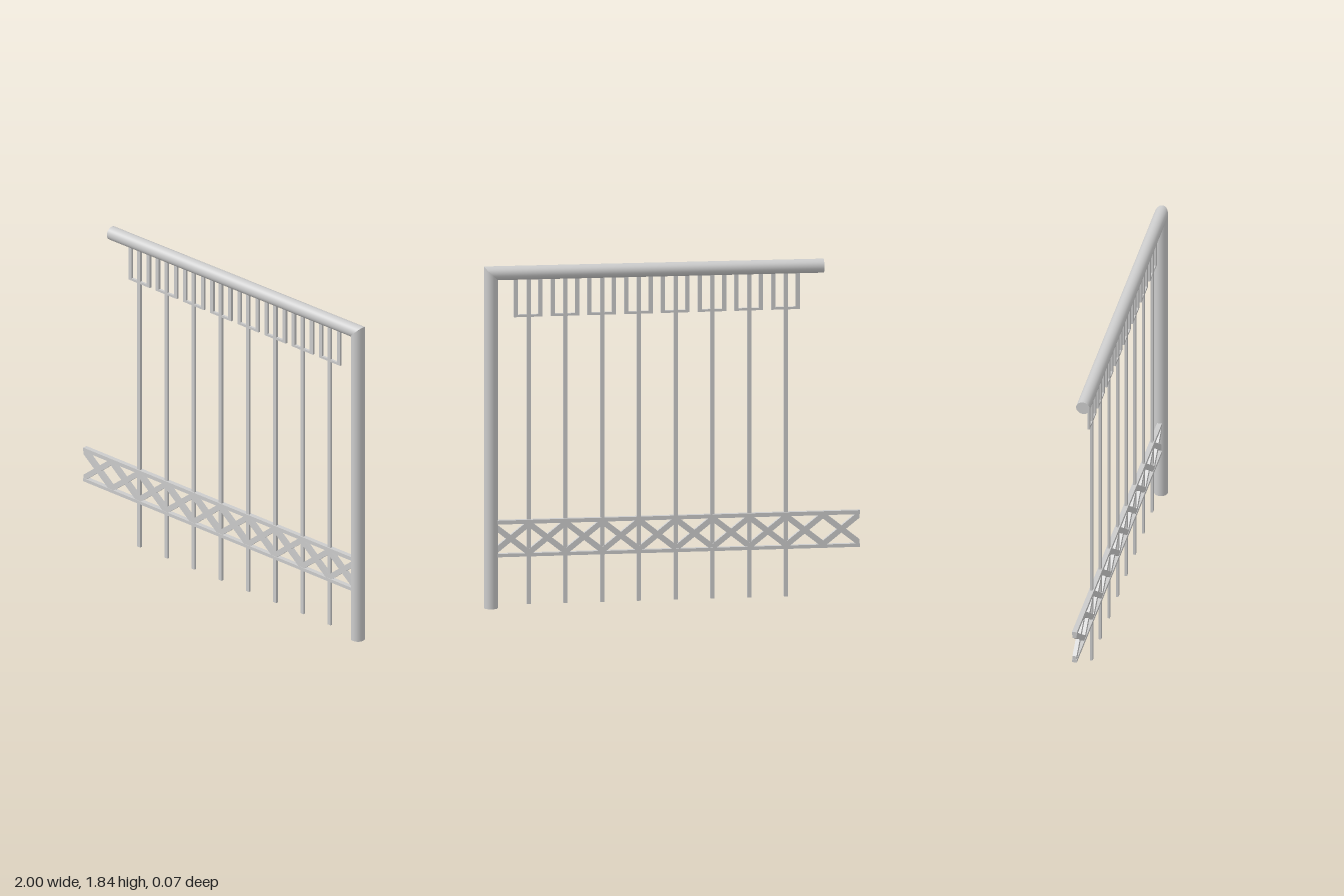
import * as THREE from 'three';

const material = new THREE.MeshStandardMaterial({ color: 0xcccccc });
const PITCH = 0.1955, FIRST_BAR = -0.607, BARS = 8;
const R = 0.037, POST_X = 0.963, RAIL_Y = 1.801, SLOPE = 0.006;

export function createModel() {
  const model = new THREE.Group();
  model.name = 'railing';

  const add = (name, geometry, parent = model) => {
    const mesh = new THREE.Mesh(geometry, material);
    mesh.name = name;
    parent.add(mesh);
    return mesh;
  };
  // Box given by its x and y limits, centred on z = 0
  const box = (name, x0, x1, y0, y1, depth, parent) =>
    add(name, new THREE.BoxGeometry(x1 - x0, y1 - y0, depth), parent)
      .position.set((x0 + x1) / 2, (y0 + y1) / 2, 0);
  // Move every vertex by a rule
  const reshape = (geometry, rule) => {
    const p = geometry.attributes.position;
    const v = new THREE.Vector3();
    for (let i = 0; i < p.count; i++) {
      rule(v.fromBufferAttribute(p, i));
      p.setXYZ(i, v.x, v.y, v.z);
    }
    return geometry;
  };

  // Round post, its top cut at 45 degrees for the mitre
  const post = new THREE.CylinderGeometry(R, R, RAIL_Y, 32);
  post.translate(POST_X, RAIL_Y / 2, 0);
  add('post', reshape(post, v => { if (v.y > 1) v.y = RAIL_Y + v.x - POST_X; }));

  // Round handrail, mitred onto the post and falling slightly towards its free end
  const left = -0.807;
  const rail = new THREE.CylinderGeometry(R, R, POST_X - left, 32);
  rail.rotateZ(-Math.PI / 2).translate((POST_X + left) / 2, RAIL_Y, 0);
  add('handrail', reshape(rail, v => {
    if (v.x > 0) v.x = POST_X + v.y - RAIL_Y;
    v.y += (v.x - POST_X) * SLOPE;
  }));

  // Upright flat bars, each with a U-shaped bracket under the handrail
  const barDepth = 0.013;
  for (let i = 0; i < BARS; i++) {
    const x = FIRST_BAR + i * PITCH;
    box('bar', x - 0.011, x + 0.011, 0.017, 1.775, barDepth);
    const bracket = new THREE.Group();
    bracket.name = 'bracket';
    model.add(bracket);
    for (const s of [-1, 1]) {
      const leg = x + 0.003 + s * 0.065;
      box('bracketLeg', leg - 0.011, leg + 0.011, 1.562, 1.775, barDepth, bracket);
    }
    box('bracketBase', x - 0.062, x + 0.068, 1.562, 1.575, barDepth, bracket);
  }

  // Lattice band: two rails with a row of crosses between them
  const band = new THREE.Group();
  band.name = 'latticeBand';
  model.add(band);
  box('topRail', -1, 0.94, 0.45, 0.471, 0.026, band);
  box('bottomRail', -1, 0.94, 0.274, 0.292, 0.026, band);

  const low = 0.294, high = 0.45, half = 0.019, depth = 0.022;
  const diagonal = (x0, x1, y0, y1) => {
    const shape = new THREE.Shape([
      new THREE.Vector2(x0, y0 - half), new THREE.Vector2(x1, y1 - half),
      new THREE.Vector2(x1, y1 + half), new THREE.Vector2(x0, y0 + half),
    ]);
    const geometry = new THREE.ExtrudeGeometry(shape, { depth, bevelEnabled: false });
    add('diagonal', geometry.translate(0, 0, -depth / 2), band);
  };
  for (let i = 0; i < BARS + 2; i++) {
    const x0 = FIRST_BAR + (i - 2) * PITCH;
    diagonal(x0, x0 + PITCH, low, high);
    diagonal(x0, x0 + PITCH, high, low);
  }
  return model;
}
